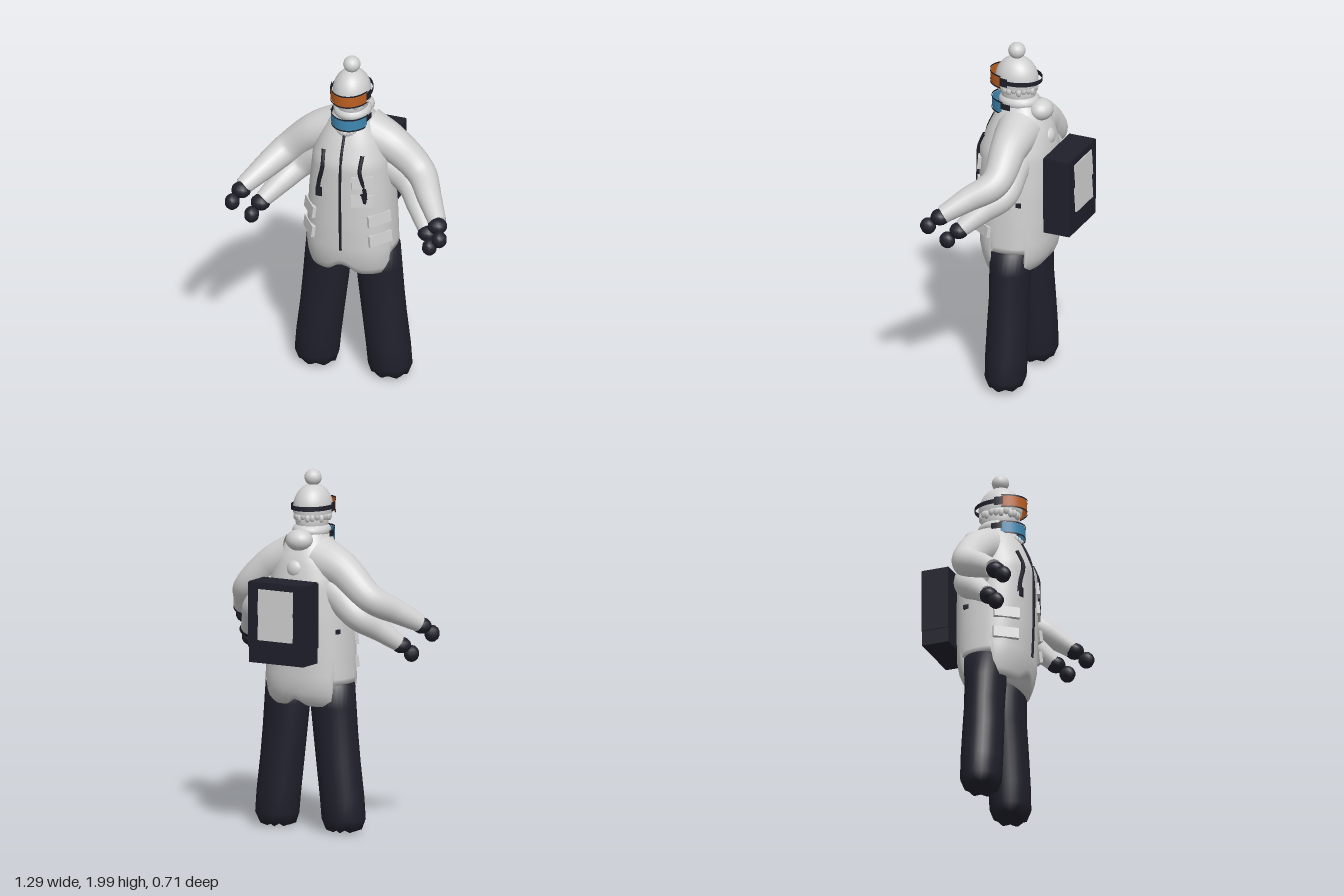
import * as THREE from 'three';

const mat = (name, color) => {
  const m = new THREE.MeshStandardMaterial({ color, side: THREE.DoubleSide });
  m.name = name;
  return m;
};

// Closed skin through rings listed from bottom to top; point(row, angle) gives [x, y, z]
function loft(rows, cols, point) {
  const pos = [], idx = [];
  for (let i = 0; i < rows; i++) {
    for (let j = 0; j < cols; j++) pos.push(...point(i, (j / cols) * Math.PI * 2));
  }
  for (let i = 0; i < rows - 1; i++) {
    for (let j = 0; j < cols; j++) {
      const k = (j + 1) % cols, a = i * cols + j, b = i * cols + k, c = b + cols, d = a + cols;
      idx.push(a, b, c, a, c, d);
    }
  }
  const g = new THREE.BufferGeometry();
  g.setAttribute('position', new THREE.Float32BufferAttribute(pos, 3));
  g.setIndex(idx);
  g.computeVertexNormals();
  return g;
}

// Jacket cross-sections: y, half width, front z, back z
const BODY = [
  [0.70, 0.225, 0.19, -0.11], [0.76, 0.245, 0.215, -0.155], [0.84, 0.253, 0.232, -0.172],
  [1.00, 0.247, 0.24, -0.177], [1.20, 0.235, 0.243, -0.18], [1.40, 0.215, 0.242, -0.175],
  [1.52, 0.175, 0.195, -0.15], [1.60, 0.13, 0.155, -0.11], [1.67, 0.085, 0.12, -0.06],
];
const POW = 0.85;

function section(y) {
  let i = 0;
  while (i < BODY.length - 2 && y > BODY[i + 1][0]) i++;
  const t = THREE.MathUtils.clamp((y - BODY[i][0]) / (BODY[i + 1][0] - BODY[i][0]), 0, 1);
  const [w, f, b] = [1, 2, 3].map((k) => THREE.MathUtils.lerp(BODY[i][k], BODY[i + 1][k], t));
  return { w, c: (f + b) / 2, d: (f - b) / 2 };
}

const bend = (v) => Math.sign(v) * Math.abs(v) ** POW;

function bodyPoint(a, y) {
  const { w, c, d } = section(y);
  return [w * bend(Math.sin(a)), y, c + d * bend(Math.cos(a))];
}

function frontZ(x, y) {
  const { w, c, d } = section(y);
  return c + d * Math.max(0, 1 - (Math.abs(x) / w) ** (2 / POW)) ** (POW / 2);
}

// Hem is long at front and back, cut high over the hips
function hem(a) {
  const c = Math.cos(a), s = Math.sin(a);
  if (c > 0.3) return 0.705 + 0.06 * Math.exp(-((s / 0.22) ** 2));
  if (c < -0.6) return 0.71 + 0.04 * Math.exp(-((s / 0.15) ** 2));
  return 0.835;
}

export function createModel() {
  const model = new THREE.Group();
  const white = mat('white fabric', 0xd0d0d0);
  const dark = mat('dark navy', 0x20202c);
  const orange = mat('orange lens', 0xbc5f20);
  const blue = mat('blue mask', 0x3f88b2);

  const add = (name, geo, material, x = 0, y = 0, z = 0) => {
    const m = new THREE.Mesh(geo, material);
    m.name = name;
    m.position.set(x, y, z);
    model.add(m);
    return m;
  };
  const ball = (name, material, x, y, z, rx, ry = rx, rz = rx, seg = 20) =>
    add(name, new THREE.SphereGeometry(1, seg, Math.ceil(seg * 0.7)).scale(rx, ry, rz), material, x, y, z);
  // Open elliptical band; half is the angle covered either side of the front
  const band = (name, material, rx, rz, y, h, half, mid = 0) =>
    add(name, new THREE.CylinderGeometry(1, 1, h, 40, 1, true, mid - half, half * 2).scale(rx, 1, rz),
      material, 0, y, 0.05);
  // Round tube that tapers along a smooth path
  const limb = (name, material, pts, radii) => {
    const path = new THREE.CatmullRomCurve3(pts.map((p) => new THREE.Vector3(...p)));
    const N = 28, R = 20;
    const g = new THREE.TubeGeometry(path, N, 1, R, false);
    const p = g.attributes.position, v = new THREE.Vector3();
    for (let i = 0; i <= N; i++) {
      const c = path.getPointAt(i / N), f = (i / N) * (radii.length - 1);
      const k = Math.min(Math.floor(f), radii.length - 2);
      const r = THREE.MathUtils.lerp(radii[k], radii[k + 1], f - k);
      for (let j = 0; j <= R; j++) {
        const n = i * (R + 1) + j;
        v.fromBufferAttribute(p, n).sub(c).multiplyScalar(r).add(c);
        p.setXYZ(n, v.x, v.y, v.z);
      }
    }
    return add(name, g, material);
  };
  // Cord lying on the front of the jacket
  const cord = (name, pts, r) => {
    const path = new THREE.CatmullRomCurve3(
      pts.map(([x, y]) => new THREE.Vector3(x, y, frontZ(x, y) + 0.004)));
    add(name, new THREE.TubeGeometry(path, 24, r, 6), dark);
  };

  // Jacket, tucked in underneath
  const ROWS = 28;
  add('jacket', loft(ROWS + 2, 96, (i, a) => {
    if (i === 0) return [0, 0.79, 0.03];
    const h = hem(a), t = (i - 1) / ROWS;
    return bodyPoint(a, h + (1.67 - h) * t);
  }), white);

  // Trouser legs: y, centre x, half width, half depth
  const LEG = [
    [0.03, 0.21, 0, 0], [0.015, 0.21, 0.06, 0.06], [0.03, 0.21, 0.105, 0.09], [0.08, 0.212, 0.124, 0.113],
    [0.2, 0.202, 0.125, 0.115], [0.4, 0.178, 0.125, 0.113], [0.55, 0.162, 0.128, 0.108],
    [0.7, 0.148, 0.13, 0.113], [0.83, 0.148, 0.118, 0.118], [0.84, 0.148, 0, 0],
  ];
  for (const s of [-1, 1]) {
    const side = s > 0 ? 'left' : 'right';
    add(side + 'Leg', loft(LEG.length, 28, (i, a) => {
      const [y, cx, w, d] = LEG[i];
      const ruffle = i === 1 || i === 2 ? 0.008 * Math.sin(a * 7) : 0;
      return [s * cx + w * Math.sin(a), y + ruffle, 0.022 + d * Math.cos(a)];
    }), dark);

    // Two arms on each side, each with a cuff and mitten
    const arms = [
      ['Upper', [[0.07, 1.52, 0], [0.22, 1.46, 0], [0.385, 1.32, 0.01], [0.48, 1.24, 0.13], [0.565, 1.165, 0.24]],
        [0.13, 0.1, 0.085, 0.07, 0.05], [0.57, 1.15, 0.255], [0.602, 1.1, 0.312]],
      ['Lower', [[0.07, 1.4, 0], [0.2, 1.33, -0.01], [0.32, 1.22, -0.01], [0.4, 1.14, 0.08], [0.475, 1.06, 0.165]],
        [0.11, 0.095, 0.08, 0.065, 0.048], [0.485, 1.045, 0.18], [0.517, 0.992, 0.235]],
    ];
    for (const [level, path, radii, cuff, hand] of arms) {
      limb(side + level + 'Sleeve', white, path.map(([x, y, z]) => [s * x, y, z]), radii);
      ball(side + level + 'Cuff', dark, s * cuff[0], cuff[1], cuff[2], 0.055, 0.045, 0.053, 12);
      ball(side + level + 'Mitten', dark, s * hand[0], hand[1], hand[2], 0.042, 0.047, 0.045, 10);
    }

    // Hip pockets wrap round the front corners
    for (const y of [1.07, 0.945]) {
      const p = bodyPoint(s * 0.92, y);
      const m = add(side + 'HipPocket', new THREE.BoxGeometry(0.145, 0.065, 0.02), white, p[0], y, p[2]);
      m.rotation.set(-0.12, s * 0.93, 0, 'YXZ');
    }
    cord(side + 'Strap', [[0.112, 1.47], [0.108, 1.38], [0.13, 1.28], [0.14, 1.21]].map(([x, y]) => [s * x, y]), 0.012);
    const tip = [s * 0.128, 1.215];
    add(side + 'StrapTip', new THREE.BoxGeometry(0.035, 0.055, 0.012), dark, tip[0], tip[1], frontZ(...tip) + 0.006);
    add(side + 'BackTab', new THREE.BoxGeometry(0.012, 0.025, 0.03), dark, s * 0.226, 1.13, -0.06);
  }

  // Zip and chest pockets
  cord('zip', [[0, 1.57], [0, 1.45], [0, 1.3], [0, 1.1], [0, 0.87]], 0.008);
  for (const y of [1.315, 1.2]) {
    const m = add('chestPocket', new THREE.BoxGeometry(0.12, 0.07, 0.02), white, 0.12, y, frontZ(0.12, y));
    m.rotation.set(-0.1, 0.4, 0, 'YXZ');
  }

  // Hood lumps at the back of the neck
  ball('hood', white, 0, 1.625, -0.095, 0.078, 0.06, 0.068);
  ball('backLump', white, 0, 1.47, -0.13, 0.055, 0.055, 0.045);

  // Head, scarf and knitted hat
  ball('head', white, 0, 1.72, 0.04, 0.088, 0.11, 0.1);
  ball('scarf', white, 0, 1.665, 0.035, 0.104, 0.055, 0.115);
  const hat = new THREE.SphereGeometry(1, 32, 14, 0, Math.PI * 2, 0, Math.PI * 0.56);
  add('hat', hat.scale(0.106, 0.135, 0.122), white, 0, 1.785, 0.05);
  ball('pompom', white, 0, 1.953, 0.05, 0.048, 0.046, 0.048, 16);

  // Shaggy fringes below the hat and under the mask
  for (let i = 0; i < 22; i++) {
    const a = (i / 22) * Math.PI * 2, dip = 0.008 * Math.sin(i * 2.4);
    ball('hatFringe', white, 0.088 * Math.sin(a), 1.745 + dip, 0.045 + 0.1 * Math.cos(a), 0.016, 0.024, 0.016, 8);
  }
  for (let i = -4; i <= 4; i++) {
    const a = i * 0.2;
    ball('scarfFringe', white, 0.085 * Math.sin(a), 1.575 + 0.02 * Math.abs(Math.sin(a)),
      0.05 + 0.115 * Math.cos(a), 0.016, 0.022, 0.018, 8);
  }

  // Goggles with frame and strap
  band('goggleLens', orange, 0.112, 0.15, 1.795, 0.066, 1.2);
  for (const y of [1.761, 1.829]) band('goggleFrame', dark, 0.115, 0.154, y, 0.009, 1.25);
  for (const s of [-1, 1]) band('goggleHinge', dark, 0.114, 0.152, 1.797, 0.05, 0.17, s * 1.35);
  band('goggleStrap', dark, 0.113, 0.145, 1.797, 0.026, 1.75, Math.PI);

  // Face mask with dark rims and side straps
  band('mask', blue, 0.11, 0.14, 1.638, 0.062, 1.25);
  for (const y of [1.605, 1.673]) band('maskRim', dark, 0.112, 0.143, y, 0.009, 1.3);
  for (const s of [-1, 1]) band('maskStrap', dark, 0.111, 0.141, 1.65, 0.035, 0.22, s * 1.42);

  // Backpack with lid and rear panel
  add('backpack', new THREE.BoxGeometry(0.345, 0.45, 0.155), dark, 0, 1.195, -0.265);
  add('backpackLid', new THREE.BoxGeometry(0.355, 0.36, 0.157), dark, 0, 1.235, -0.265);
  for (const y of [1.31, 1.17]) {
    const m = add('rearPanel', new THREE.BoxGeometry(0.22, 0.142, 0.009), white, 0, y, -0.35);
    m.rotation.x = 0.06;
  }
  return model;
}
